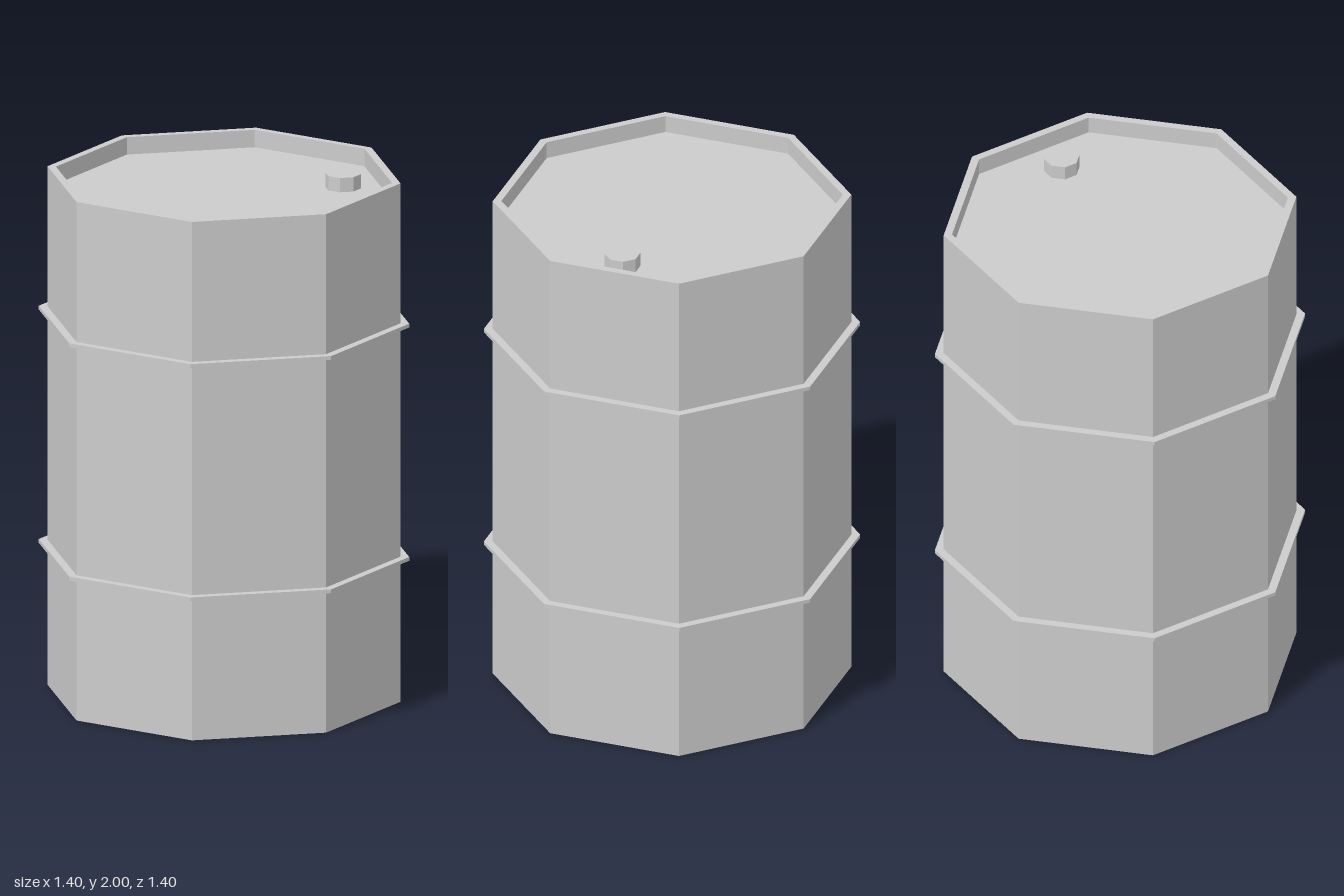
import * as THREE from 'three';

const SIDES = 8;
const material = new THREE.MeshStandardMaterial({ color: 0xcccccc, flatShading: true });

function addPart(group, name, geometry, x = 0, y = 0, z = 0) {
  const mesh = new THREE.Mesh(geometry, material);
  mesh.name = name;
  mesh.position.set(x, y, z);
  group.add(mesh);
}

export function createModel() {
  const group = new THREE.Group();
  group.name = 'barrel';

  // Drum body: flat base, straight wall, thin rim and recessed lid
  const radius = 0.667, rimInner = 0.635, lidY = 1.933;
  const profile = [
    [0, 0], [radius, 0], [radius, 2], [rimInner, 2], [rimInner, lidY], [0, lidY],
  ].map(([r, y]) => new THREE.Vector2(r, y));
  addPart(group, 'body', new THREE.LatheGeometry(profile, SIDES));

  // Two thin hoops around the wall
  const hoop = new THREE.CylinderGeometry(0.7, 0.7, 0.0145, SIDES);
  addPart(group, 'lowerHoop', hoop, 0, 0.553, 0);
  addPart(group, 'upperHoop', hoop, 0, 1.453, 0);

  // Filler cap standing on the lid, just below the rim
  const capHeight = 0.055;
  const cap = new THREE.CylinderGeometry(0.067, 0.067, capHeight, SIDES);
  addPart(group, 'fillerCap', cap, 0.4, lidY + capHeight / 2, 0.2);

  return group;
}
